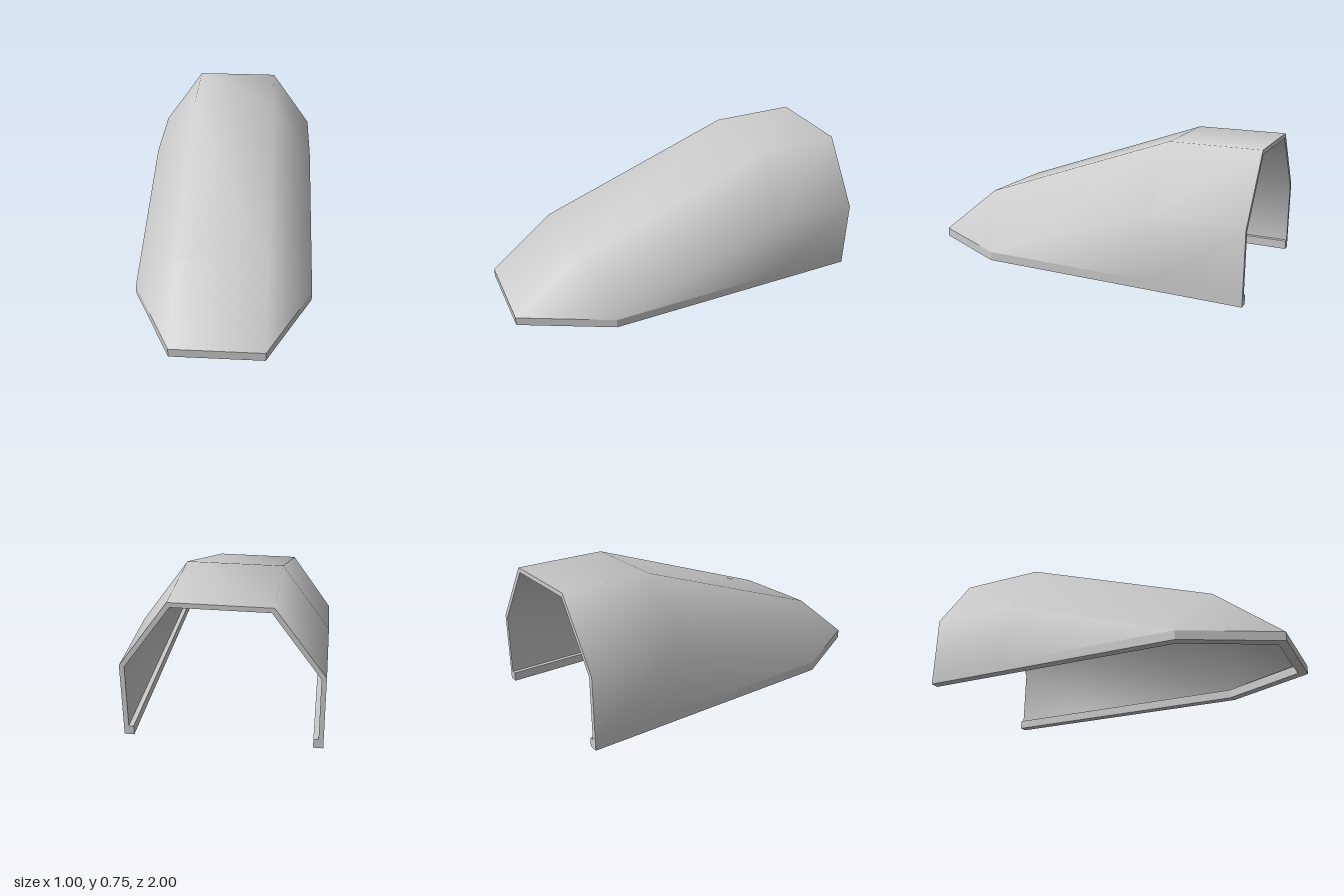
import * as THREE from 'three';
import { mergeVertices } from 'three/addons/utils/BufferGeometryUtils.js';

const material = new THREE.MeshStandardMaterial({ color: 0xcccccc });

// Half sections from back to front, each as base, shoulder and top [x, y, z].
// Toward the nose the shoulder runs down into the base and the section closes.
const outerSections = [
  [[0.5, 0.05, -1], [0.5, 0.4, -1], [0.25, 0.75, -1]],
  [[0.5, 0.05, -0.5], [0.5, 0.4, -0.5], [0.25, 0.75, -0.5]],
  [[0.5, 0.05, 0.5], [0.5, 0.05, 0.5], [0.25, 0.345, 0.63]],
  [[0.25, 0.05, 1], [0.25, 0.05, 1], [0.25, 0.05, 1]],
];
const innerSections = [
  [[0.475, 0.05, -1], [0.475, 0.392, -1], [0.237, 0.725, -1]],
  [[0.475, 0.05, -0.504], [0.475, 0.392, -0.504], [0.237, 0.725, -0.504]],
  [[0.475, 0.05, 0.47], [0.475, 0.05, 0.47], [0.237, 0.325, 0.61]],
  [[0.235, 0.05, 0.96], [0.235, 0.05, 0.96], [0.235, 0.05, 0.96]],
];

// Complete a half section with its mirror image
function mirrored(half) {
  return [...half, ...half.map(([x, y, z]) => [-x, y, z]).reverse()];
}

// Smooth skin lofted through the sections; flip turns it to face inward
function skin(name, sections, flip) {
  const rows = sections.map(mirrored);
  const n = rows[0].length;
  const index = [];
  for (let j = 0; j < rows.length - 1; j++) {
    for (let i = 0; i < n - 1; i++) {
      const a = j * n + i, b = a + 1, c = a + n, d = c + 1;
      index.push(...(flip ? [a, c, b, b, c, d] : [a, b, c, b, d, c]));
    }
  }
  let geometry = new THREE.BufferGeometry();
  geometry.setAttribute('position', new THREE.Float32BufferAttribute(rows.flat(2), 3));
  geometry.setIndex(index);
  geometry = mergeVertices(geometry);
  geometry.computeVertexNormals();
  return named(name, geometry);
}

function named(name, geometry) {
  const mesh = new THREE.Mesh(geometry, material);
  mesh.name = name;
  return mesh;
}

function shapeFrom(points) {
  return new THREE.Shape(points.map(([x, y]) => new THREE.Vector2(x, y)));
}

export function createModel() {
  const model = new THREE.Group();
  model.name = 'canopy';

  // Thin shell
  model.add(skin('outerShell', outerSections, false));
  model.add(skin('innerShell', innerSections, true));

  // Flat edge of the shell around the open back
  const arch = shapeFrom([...mirrored(outerSections[0]), ...mirrored(innerSections[0]).reverse()]);
  const edge = new THREE.ShapeGeometry(arch);
  edge.rotateY(Math.PI);
  edge.translate(0, 0, -1);
  model.add(named('backEdge', edge));

  // Base rim, a wider U-shaped lip open at the back (drawn as x, -z)
  const rimOuter = [[0.5, 1], [0.5, -0.5], [0.25, -1]];
  const rimInner = [[0.45, 1], [0.45, -0.488], [0.219, -0.95]];
  const rim = new THREE.ExtrudeGeometry(
    shapeFrom([...mirrored(rimOuter), ...mirrored(rimInner).reverse()].map(([x, y]) => [x, y])),
    { depth: 0.05, bevelEnabled: false },
  );
  rim.rotateX(-Math.PI / 2);
  model.add(named('baseRim', rim));

  return model;
}
